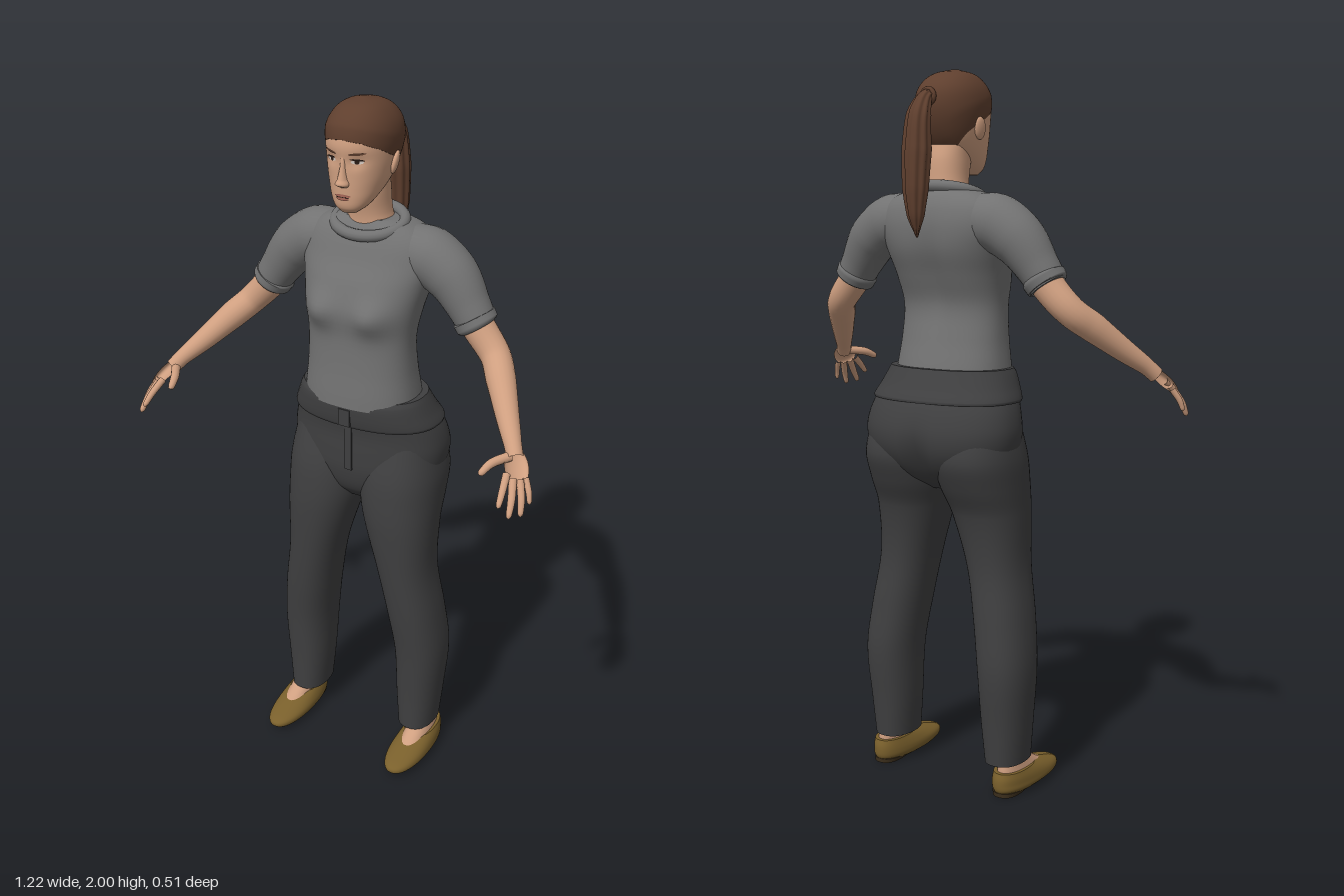
import * as THREE from 'three';
import { mergeVertices } from 'three/addons/utils/BufferGeometryUtils.js';

const V = (x, y, z) => new THREE.Vector3(x, y, z);
const sym = rows => rows.map(([y, w, f, b]) => [y, -w, w, f, b]);
const flip = (rows, s) => s > 0 ? rows : rows.map(([y, a, b, f, k]) => [y, -b, -a, f, k]);

// Smooth cross-section [xMin, xMax, zFront, zBack] of a row table at height y
function sectionAt(rows, y) {
  let i = 0;
  while (i < rows.length - 2 && y > rows[i + 1][0]) i++;
  const a = rows[i], b = rows[i + 1], h = b[0] - a[0];
  const t = Math.min(1, Math.max(0, (y - a[0]) / h)), t2 = t * t, t3 = t2 * t;
  const p = rows[Math.max(0, i - 1)], q = rows[Math.min(rows.length - 1, i + 2)];
  return [1, 2, 3, 4].map(k => {
    const ma = (b[k] - p[k]) / (b[0] - p[0]) * h, mb = (q[k] - a[k]) / (q[0] - a[0]) * h;
    return (2 * t3 - 3 * t2 + 1) * a[k] + (t3 - 2 * t2 + t) * ma + (3 * t2 - 2 * t3) * b[k] + (t3 - t2) * mb;
  });
}

// Point on a rounded section; angle 0 is the front, growing toward +x
function ringPoint(rows, y, angle, pow, off = 0) {
  const [x0, x1, f, b] = sectionAt(rows, y), e = 2 / pow;
  const s = Math.sin(angle), c = Math.cos(angle);
  return V((x0 + x1) / 2 + Math.sign(s) * Math.abs(s) ** e * ((x1 - x0) / 2 + off), y,
    (f + b) / 2 + Math.sign(c) * Math.abs(c) ** e * ((f - b) / 2 + off));
}

// Closed-around grid surface from rings, with optional flat caps
function skin(fn, nu, nv, caps) {
  const pos = [], idx = [];
  for (let j = 0; j <= nv; j++) for (let i = 0; i < nu; i++) pos.push(...fn(i / nu * Math.PI * 2, j / nv).toArray());
  for (let j = 0; j < nv; j++) for (let i = 0; i < nu; i++) {
    const a = j * nu + i, b = j * nu + (i + 1) % nu;
    idx.push(a, b, b + nu, a, b + nu, a + nu);
  }
  if (caps) for (const j of [0, nv]) {
    const base = pos.length / 3, c = V(0, 0, 0);
    for (let i = 0; i < nu; i++) {
      const p = fn(i / nu * Math.PI * 2, j / nv);
      pos.push(...p.toArray());
      c.addScaledVector(p, 1 / nu);
    }
    pos.push(...c.toArray());
    for (let i = 0; i < nu; i++) {
      const a = base + i, b = base + (i + 1) % nu;
      idx.push(base + nu, ...(j ? [a, b] : [b, a]));
    }
  }
  const g = new THREE.BufferGeometry();
  g.setAttribute('position', new THREE.Float32BufferAttribute(pos, 3));
  g.setIndex(idx);
  g.computeVertexNormals();
  return g;
}

function loft(rows, pow = 2.2, deform = null, nu = 48) {
  const n = rows.length - 1, k = 5;
  return skin((a, v) => {
    const i = Math.min(n - 1, Math.floor(v * n + 1e-6)), f = v * n - i;
    const p = ringPoint(rows, rows[i][0] + (rows[i + 1][0] - rows[i][0]) * f, a, pow);
    if (deform) deform(p, a);
    return p;
  }, nu, n * k, true);
}

// Tube through points [x, y, z, radius]; groove adds ridges along its length
function limb(pts, s = 1, radial = 20, groove = 0) {
  const curve = new THREE.CatmullRomCurve3(pts.map(p => V(s * p[0], p[1], p[2])));
  const seg = (pts.length - 1) * 6, g = new THREE.TubeGeometry(curve, seg, 1, radial);
  const P = g.attributes.position, v = V(0, 0, 0);
  for (let i = 0; i <= seg; i++) {
    const c = curve.getPointAt(i / seg), t = curve.getUtoTmapping(i / seg) * (pts.length - 1);
    const k = Math.min(pts.length - 2, Math.floor(t)), r = THREE.MathUtils.lerp(pts[k][3], pts[k + 1][3], t - k);
    for (let j = 0; j <= radial; j++) {
      const n = i * (radial + 1) + j, m = r * (1 + groove * Math.cos(j / radial * Math.PI * 18));
      v.fromBufferAttribute(P, n).sub(c).multiplyScalar(m).add(c);
      P.setXYZ(n, v.x, v.y, v.z);
    }
  }
  g.deleteAttribute('uv');
  g.deleteAttribute('normal');
  const m = mergeVertices(g, 1e-6);
  m.computeVertexNormals();
  return m;
}

export function createModel() {
  const model = new THREE.Group();
  const mat = (name, color, side = THREE.FrontSide) => {
    const m = new THREE.MeshStandardMaterial({ color, side });
    m.name = name;
    return m;
  };
  const skinM = mat('skin', 0xcf9f80), hairM = mat('brown hair', 0x5f3f2e, THREE.DoubleSide);
  const shirtM = mat('grey shirt', 0x727272, THREE.DoubleSide), pantsM = mat('charcoal trousers', 0x3f3f40);
  const shoeM = mat('tan shoe', 0x7a602c), soleM = mat('dark sole', 0x3a2d1b);
  const darkM = mat('eye dark', 0x2a1c16), whiteM = mat('eye white', 0xd8cdc4), lipM = mat('lips', 0xa9695a);
  const add = (name, geo, m) => {
    const mesh = new THREE.Mesh(geo, m);
    mesh.name = name;
    model.add(mesh);
    return mesh;
  };
  const bell = (d, w) => Math.exp(-(d * d) / (w * w));

  // Head and neck
  const head = sym([[1.722, .022, .05, .015], [1.737, .042, .062, -.02], [1.76, .058, .066, -.06], [1.79, .071, .067, -.105],
    [1.82, .08, .067, -.128], [1.86, .087, .068, -.145], [1.9, .089, .07, -.154], [1.94, .082, .058, -.148],
    [1.97, .063, .034, -.122], [1.987, .038, .004, -.087], [1.995, .004, -.036, -.044]]);
  const sockets = p => { if (p.z > 0) p.z -= .007 * (bell(p.x - .037, .02) + bell(p.x + .037, .02)) * bell(p.y - 1.86, .015); };
  add('head', loft(head, 2.2, sockets), skinM);
  add('neck', loft(sym([[1.6, .085, -.005, -.15], [1.66, .068, -.02, -.142], [1.7, .057, -.018, -.135], [1.76, .055, -.005, -.13], [1.8, .055, -.01, -.12]])), skinM);
  add('nose', loft(sym([[1.794, .014, .074, .05], [1.802, .019, .088, .05], [1.815, .013, .083, .05], [1.845, .008, .074, .05], [1.872, .008, .068, .05]]), 2, null, 20), skinM);

  // Thin face details laid on the head surface
  const faceZ = (x, y) => {
    const [, w, f, b] = sectionAt(head, y);
    const p = V(x, y, (f + b) / 2 + (f - b) / 2 * (1 - Math.min(1, Math.abs(x / w)) ** 2.2) ** (1 / 2.2));
    sockets(p);
    return p.z;
  };
  const decal = (name, m, cx, cy, w, h, off, tilt = 0) => {
    const g = new THREE.CircleGeometry(1, 20), P = g.attributes.position;
    for (let i = 0; i < P.count; i++) {
      const u = P.getX(i) * w, x = cx + u, y = cy + P.getY(i) * h + u * tilt;
      P.setXYZ(i, x, y, faceZ(x, y) + off);
    }
    g.computeVertexNormals();
    add(name, g, m);
  };
  for (const s of [-1, 1]) {
    decal('eyeWhite', whiteM, s * .037, 1.86, .015, .0055, .002);
    decal('iris', darkM, s * .036, 1.86, .0058, .0055, .003);
    decal('lashLine', darkM, s * .038, 1.8655, .017, .0028, .0035, -s * .08);
    decal('eyebrow', hairM, s * .038, 1.881, .021, .0035, .002, s * .1);
    const ear = add('ear', new THREE.SphereGeometry(1, 18, 14), skinM);
    ear.scale.set(.009, .031, .018);
    ear.position.set(s * .088, 1.843, -.048);
    ear.rotation.set(-.2, s * .3, -s * .15);
  }
  decal('upperLip', lipM, 0, 1.771, .023, .0042, .0025);
  decal('lowerLip', lipM, 0, 1.764, .018, .005, .003);
  decal('mouthLine', darkM, 0, 1.768, .021, .001, .004);

  // Hair cap with a shaped hairline, tie and ponytail
  const line = [1.914, 1.908, 1.89, 1.862, 1.83, 1.785, 1.768];
  add('hairCap', skin((a, v) => {
    const t = Math.abs(a > Math.PI ? a - 2 * Math.PI : a) / Math.PI * 6, k = Math.min(5, Math.floor(t));
    const low = THREE.MathUtils.lerp(line[k], line[k + 1], t - k);
    const off = .001 + .006 * Math.min(1, v * 4);
    const p = ringPoint(head, low + (1.995 - low) * Math.sin(v * Math.PI / 2), a, 2.2, off);
    p.y += .005 * v;
    return p;
  }, 60, 24, true), hairM);
  add('ponytail', limb([[0, 1.925, -.14, .018], [0, 1.922, -.172, .017], [0, 1.875, -.203, .031], [0, 1.78, -.214, .038],
    [0, 1.68, -.22, .033], [0, 1.61, -.22, .022], [0, 1.555, -.215, .002]], 1, 54, .08), hairM);
  const tie = add('hairTie', new THREE.TorusGeometry(.019, .007, 10, 24), hairM);
  tie.position.set(0, 1.923, -.164);

  // Shirt body with bust and spine shaping, and ribbed collar
  add('shirtBody', loft(sym([[1.175, .17, .076, -.166], [1.21, .166, .074, -.16], [1.28, .158, .068, -.145], [1.37, .155, .065, -.135],
    [1.45, .166, .068, -.162], [1.52, .182, .052, -.188], [1.58, .195, .024, -.194], [1.63, .185, .004, -.186],
    [1.665, .145, -.014, -.168], [1.685, .085, -.03, -.145]]), 2.4, (p, a) => {
    if (Math.cos(a) > 0) p.z += .026 * (bell(p.x - .08, .05) + bell(p.x + .08, .05)) * bell(p.y - 1.445, .045);
    else p.z += .016 * bell(p.x, .04) * bell(p.y - 1.45, .16);
  }, 64), shirtM);
  const collar = [];
  for (let i = 0; i < 16; i++) {
    const a = i / 8 * Math.PI, c = Math.cos(a);
    collar.push(V(Math.sin(a) * .098, 1.67 - .022 * c, -.072 + .074 * c));
  }
  add('collar', new THREE.TubeGeometry(new THREE.CatmullRomCurve3(collar, true), 64, .016, 12, true), shirtM);

  // Trousers: hips, waistband, fly and legs
  add('hips', loft(sym([[.86, .06, 0, -.13], [.9, .145, .035, -.19], [.96, .216, .052, -.233], [1.02, .234, .055, -.246],
    [1.08, .227, .055, -.232], [1.14, .205, .062, -.2], [1.19, .182, .062, -.172]]), 2.3, (p, a) => {
    if (Math.cos(a) < 0) p.z += .022 * bell(p.x, .03) * bell(p.y - .94, .09);
  }, 64), pantsM);
  add('waistband', loft(sym([[1.112, .221, .064, -.222], [1.12, .222, .068, -.222], [1.15, .208, .073, -.203], [1.185, .192, .074, -.184], [1.2, .184, .066, -.176]]), 2.3), pantsM);
  const tab = add('waistTab', new THREE.BoxGeometry(.035, .05, .008), pantsM);
  tab.position.set(.005, 1.145, .073);
  const fly = add('fly', new THREE.BoxGeometry(.022, .14, .008), pantsM);
  fly.position.set(.008, 1.045, .056);

  const leg = [[.09, .14, .25, .02, -.135], [.2, .13, .26, .022, -.145], [.36, .121, .27, .03, -.16], [.5, .1, .256, .045, -.15],
    [.65, .07, .233, .058, -.14], [.8, .026, .233, .068, -.162], [.88, .005, .235, .067, -.2], [.96, .001, .234, .058, -.226], [1.06, .02, .215, .03, -.2]];
  const foot = [[.03, .172, .252, .085, -.115], [.052, .173, .252, .077, -.118], [.07, .176, .248, .045, -.12], [.1, .178, .243, .002, -.117], [.15, .175, .245, -.005, -.118]];
  const shoe = [[.008, .165, .257, .14, -.128], [.02, .156, .268, .153, -.135], [.036, .155, .268, .145, -.137], [.052, .16, .264, .095, -.136], [.069, .168, .256, .03, -.131]];
  const sole = [[.003, .172, .25, .125, -.128], [.013, .164, .259, .143, -.131]];
  const heel = [[0, .175, .248, -.02, -.132], [.012, .172, .25, -.015, -.132]];

  // Arm path, and fingers as knuckle, bend and tip
  const arm = [[.28, 1.5, -.083, .045], [.325, 1.432, -.08, .045], [.385, 1.367, -.066, .041], [.425, 1.325, -.02, .04], [.48, 1.262, .05, .031], [.523, 1.215, .104, .023], [.54, 1.192, .125, .022]];
  const sleeve = [[.08, 1.595, -.092, .07], [.17, 1.592, -.092, .08], [.24, 1.55, -.09, .073], [.293, 1.482, -.084, .059], [.326, 1.432, -.08, .053]];
  const cuff = [[.309, 1.457, -.082, .054], [.312, 1.452, -.082, .06], [.324, 1.435, -.08, .058], [.328, 1.429, -.08, .047]];
  const fingers = [
    ['thumb', [.527, 1.195, .128], [.497, 1.188, .175], [.483, 1.17, .215], .012],
    ['indexFinger', [.541, 1.17, .175], [.55, 1.14, .218], [.555, 1.112, .25], .0095],
    ['middleFinger', [.558, 1.16, .173], [.573, 1.118, .21], [.579, 1.082, .237], .01],
    ['ringFinger', [.572, 1.155, .16], [.59, 1.113, .186], [.597, 1.076, .203], .0095],
    ['littleFinger', [.58, 1.155, .143], [.597, 1.123, .157], [.604, 1.095, .165], .008]];
  for (const s of [-1, 1]) {
    const side = s > 0 ? 'left' : 'right';
    add(side + 'Leg', loft(flip(leg, s), 2.3), pantsM);
    add(side + 'Foot', loft(flip(foot, s)), skinM);
    add(side + 'Shoe', loft(flip(shoe, s), 2.2), shoeM);
    add(side + 'Sole', loft(flip(sole, s), 2.2), soleM);
    add(side + 'Heel', loft(flip(heel, s), 2.4), soleM);
    add(side + 'Sleeve', limb(sleeve, s, 28), shirtM);
    add(side + 'Cuff', limb(cuff, s, 28), shirtM);
    add(side + 'Arm', limb(arm, s), skinM);
    // Palm: flattened ellipsoid between wrist and knuckles
    const d = V(s * .04, -.06, .07).normalize(), n = V(s * .04, -.015, -.04).cross(d).normalize();
    const w = d.clone().cross(n);
    const palm = new THREE.SphereGeometry(1, 24, 16).scale(.034, .054, .016);
    palm.applyMatrix4(new THREE.Matrix4().makeBasis(n.clone().cross(d).negate(), d, n.clone().negate()));
    if (w.lengthSq() > 0) palm.translate(s * .554, 1.178, .144);
    add(side + 'Palm', palm, skinM);
    for (const [name, a, b, c, r] of fingers) {
      const tip = c.map((v, i) => v - (v - b[i]) * .15);
      add(side + name[0].toUpperCase() + name.slice(1), limb([[...a, r * 1.1], [...b, r], [...tip, r * .75], [...c, .0005]], s, 12), skinM);
    }
  }
  return model;
}
